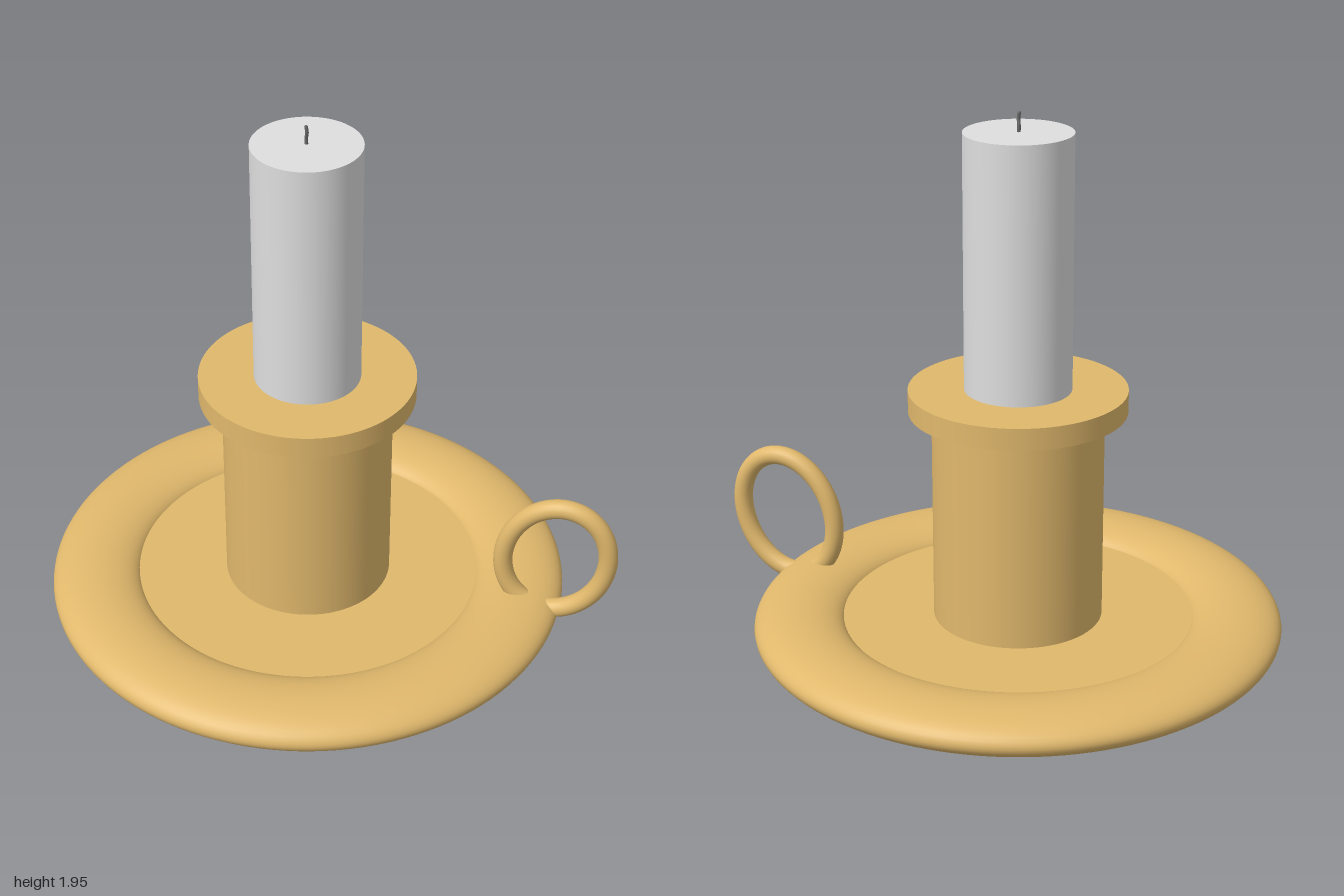
import * as THREE from 'three';

export function createModel() {
  const brass = new THREE.MeshStandardMaterial({ name: 'brass', color: 0xe0b86c });
  const wax = new THREE.MeshStandardMaterial({ name: 'wax', color: 0xdedede });
  const char = new THREE.MeshStandardMaterial({ name: 'charredWick', color: 0x6a6a6a });

  const model = new THREE.Group();
  model.name = 'candleHolder';
  const body = new THREE.Group();
  body.name = 'holder';
  body.position.x = -0.045;
  model.add(body);

  const add = (name, geometry, material) => {
    const mesh = new THREE.Mesh(geometry, material);
    mesh.name = name;
    body.add(mesh);
    return mesh;
  };
  // Upright cylinder between two heights
  const drum = (name, radius, y0, y1, material) => {
    const mesh = add(name, new THREE.CylinderGeometry(radius, radius, y1 - y0, 96), material);
    mesh.position.y = (y0 + y1) / 2;
  };

  // Saucer: thin floor inside a flattened rolled rim
  const rim = new THREE.TorusGeometry(0.79, 0.165, 40, 128);
  rim.rotateX(Math.PI / 2);
  rim.scale(1, 0.075 / 0.165, 1);
  rim.translate(0, 0.075, 0);
  add('saucerRim', rim, brass);
  drum('saucerFloor', 0.66, 0.05, 0.098, brass);

  // Socket, collar and candle
  drum('socket', 0.305, 0.09, 0.885, brass);
  drum('collar', 0.387, 0.88, 0.96, brass);
  drum('candle', 0.19, 0.95, 1.875, wax);

  // Slightly bent wick
  const wickPath = new THREE.CatmullRomCurve3([
    new THREE.Vector3(0, 1.86, 0),
    new THREE.Vector3(-0.002, 1.895, 0),
    new THREE.Vector3(0.003, 1.92, 0.002),
    new THREE.Vector3(0, 1.94, 0.003),
  ]);
  add('wick', new THREE.TubeGeometry(wickPath, 12, 0.006, 8), char);
  const tip = add('wickTip', new THREE.SphereGeometry(0.006, 8, 6), char);
  tip.position.set(0, 1.94, 0.003);

  // Finger ring: a leaning oval loop in a radial plane
  const lean = 0.3;
  const points = [];
  for (let i = 0; i < 24; i++) {
    const t = (i / 24) * Math.PI * 2;
    const u = 0.185 * Math.cos(t);
    const v = 0.236 * Math.sin(t);
    points.push(new THREE.Vector3(
      u * Math.cos(lean) + v * Math.sin(lean),
      v * Math.cos(lean) - u * Math.sin(lean),
      0));
  }
  const loop = new THREE.CatmullRomCurve3(points, true);
  const handle = add('fingerRing', new THREE.TubeGeometry(loop, 96, 0.035, 20, true), brass);
  handle.position.set(0.84, 0.325, -0.395);
  handle.rotation.y = Math.atan2(0.395, 0.84);

  return model;
}
